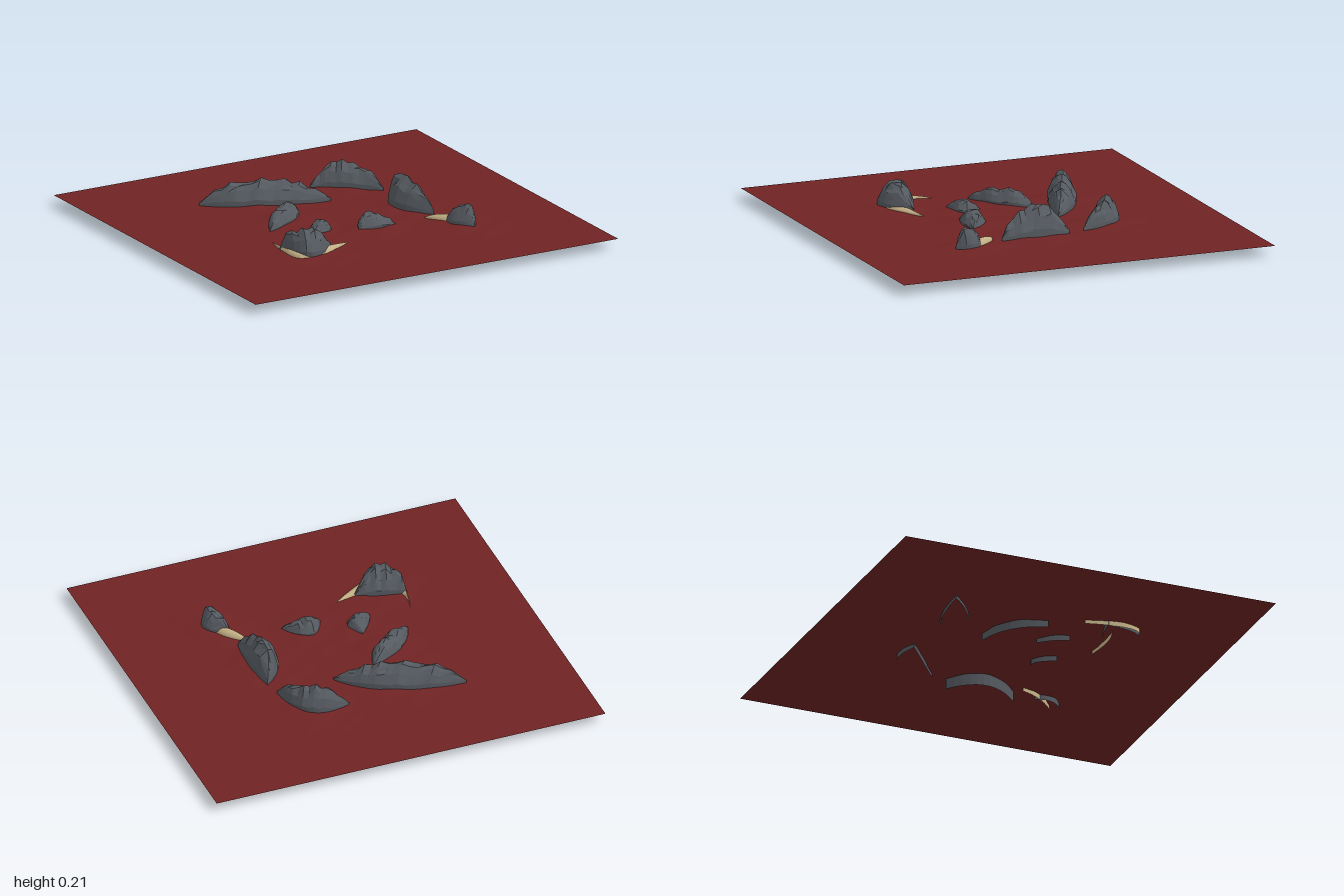
import * as THREE from 'three';

const GROUND = 0.053;

// Each piece is a lens between two tips: back and front are the middles of its two edges, [x, z]
const ROCKS = [
  { name: 'backLeftRock', tips: [-0.48, -0.475, 0.1, -0.22], back: [-0.13, -0.41], front: [-0.24, -0.305], top: 0.17, peak: 0.48 },
  { name: 'backRightRock', tips: [0.11, -0.44, 0.393, -0.225], back: [0.31, -0.44], front: [0.24, -0.34], top: 0.18 },
  { name: 'middleLeftRock', tips: [-0.387, 0.043, -0.12, -0.187], back: [-0.29, -0.11], front: [-0.19, -0.05], top: 0.13, base: 0.02 },
  { name: 'smallLeftRock', tips: [-0.259, 0.212, -0.168, 0.075], back: [-0.225, 0.14], front: [-0.13, 0.18], top: 0.11 },
  { name: 'smallFrontRock', tips: [-0.019, 0.246, 0.18, 0.257], back: [0.07, 0.15], front: [0.08, 0.268], top: 0.125 },
  { name: 'rightRock', tips: [0.41, -0.145, 0.42, 0.209], back: [0.436, 0.03], front: [0.3, 0.02], top: 0.205, base: 0 },
  { name: 'frontLeftRock', tips: [-0.49, 0.31, -0.25, 0.385], back: [-0.37, 0.335], front: [-0.42, 0.5], top: 0.18, peak: 0.4 },
  { name: 'frontRightRock', tips: [0.42, 0.32, 0.49, 0.478], back: [0.52, 0.385], front: [0.415, 0.41], top: 0.17, peak: 0.6 },
];

const HORNS = [
  { name: 'frontLeftHorn', tips: [-0.463, 0.2, -0.152, 0.37], back: [-0.42, 0.36], front: [-0.455, 0.49], top: 0.085 },
  { name: 'frontRightHorn', tips: [0.355, 0.23, 0.5, 0.43], back: [0.455, 0.305], front: [0.41, 0.34], top: 0.085 },
];

function seeded(seed) {
  let s = seed * 7919;
  return () => {
    s = (s * 16807) % 2147483647;
    return s / 2147483647;
  };
}

// Parabolic edge from tip to tip through a middle point
function edge([x0, z0, x1, z1], [mx, mz]) {
  return new THREE.QuadraticBezierCurve(
    new THREE.Vector2(x0, z0),
    new THREE.Vector2(2 * mx - (x0 + x1) / 2, 2 * mz - (z0 + z1) / 2),
    new THREE.Vector2(x1, z1)
  );
}

// Open-bottomed ridge lofted from arched cross-sections, with a skirt sunk into the ground
function ridge({ tips, back, front, top, peak = 0.5, base = 0.035 }, rough, rand) {
  const backEdge = edge(tips, back), frontEdge = edge(tips, front);
  const rows = Math.round(5 + backEdge.getLength() * 18), cols = 8;
  const skew = Math.log(0.5) / Math.log(peak);
  const jitter = (amount) => (rand() - 0.5) * amount * rough;
  const pos = [], index = [];
  for (let i = 0; i <= rows; i++) {
    const t = i / rows, p = backEdge.getPoint(t), q = frontEdge.getPoint(t);
    const swell = 0.12 + 0.88 * Math.max(0, Math.sin(Math.PI * t ** skew)) ** 0.75;
    const rise = (top - GROUND) * swell * (1 + jitter(0.3));
    for (let j = 0; j <= cols; j++) {
      // The first and last columns are the skirt, straight below the edges
      const skirt = j === 0 || j === cols;
      const u = THREE.MathUtils.clamp((j - 1) / (cols - 2), 0, 1);
      const inside = u > 0 && u < 1;
      const w = inside ? u + jitter(0.1) : u;
      const arch = 0.28 + 0.72 * Math.sin(Math.PI * u) ** 0.8;
      const y = skirt ? base : GROUND + rise * arch * (1 + jitter(0.15));
      pos.push(p.x + (q.x - p.x) * w, y, p.y + (q.y - p.y) * w);
      if (i < rows && j < cols) {
        const k = i * (cols + 1) + j, next = k + cols + 1;
        index.push(k, k + 1, next, k + 1, next + 1, next);
      }
    }
  }
  const g = new THREE.BufferGeometry();
  g.setAttribute('position', new THREE.Float32BufferAttribute(pos, 3));
  g.setIndex(index);
  g.computeVertexNormals();
  return g;
}

// Thin sheet of ground, swelling gently around each rock
function groundGeometry() {
  const g = new THREE.PlaneGeometry(2, 1.924, 90, 90).rotateX(-Math.PI / 2);
  const p = g.attributes.position;
  for (let i = 0; i < p.count; i++) {
    const x = p.getX(i), z = p.getZ(i);
    let mound = 0;
    for (const { back, front } of ROCKS) {
      const d = Math.hypot(x - (back[0] + front[0]) / 2, z - (back[1] + front[1]) / 2);
      mound = Math.max(mound, Math.exp(-((d / 0.17) ** 2)));
    }
    const ripple = 0.8 + 0.3 * Math.sin(x * 31 + z * 9) * Math.cos(z * 27 - x * 7);
    p.setY(i, GROUND - 0.002 + 0.015 * mound * ripple);
  }
  g.computeVertexNormals();
  return g;
}

export function createModel() {
  const red = new THREE.MeshStandardMaterial({ color: 0x702323, side: THREE.DoubleSide });
  red.name = 'red earth';
  const grey = new THREE.MeshStandardMaterial({ color: 0x555a60, flatShading: true });
  grey.name = 'grey stone';
  const tan = new THREE.MeshStandardMaterial({ color: 0xc2ae84 });
  tan.name = 'tan horn';

  const model = new THREE.Group();
  model.name = 'rockCircle';
  const add = (name, geometry, material) => {
    const mesh = new THREE.Mesh(geometry, material);
    mesh.name = name;
    model.add(mesh);
  };
  add('ground', groundGeometry(), red);
  ROCKS.forEach((rock, i) => add(rock.name, ridge(rock, 1, seeded(i + 3)), grey));
  HORNS.forEach((horn) => add(horn.name, ridge(horn, 0, seeded(1)), tan));
  return model;
}
